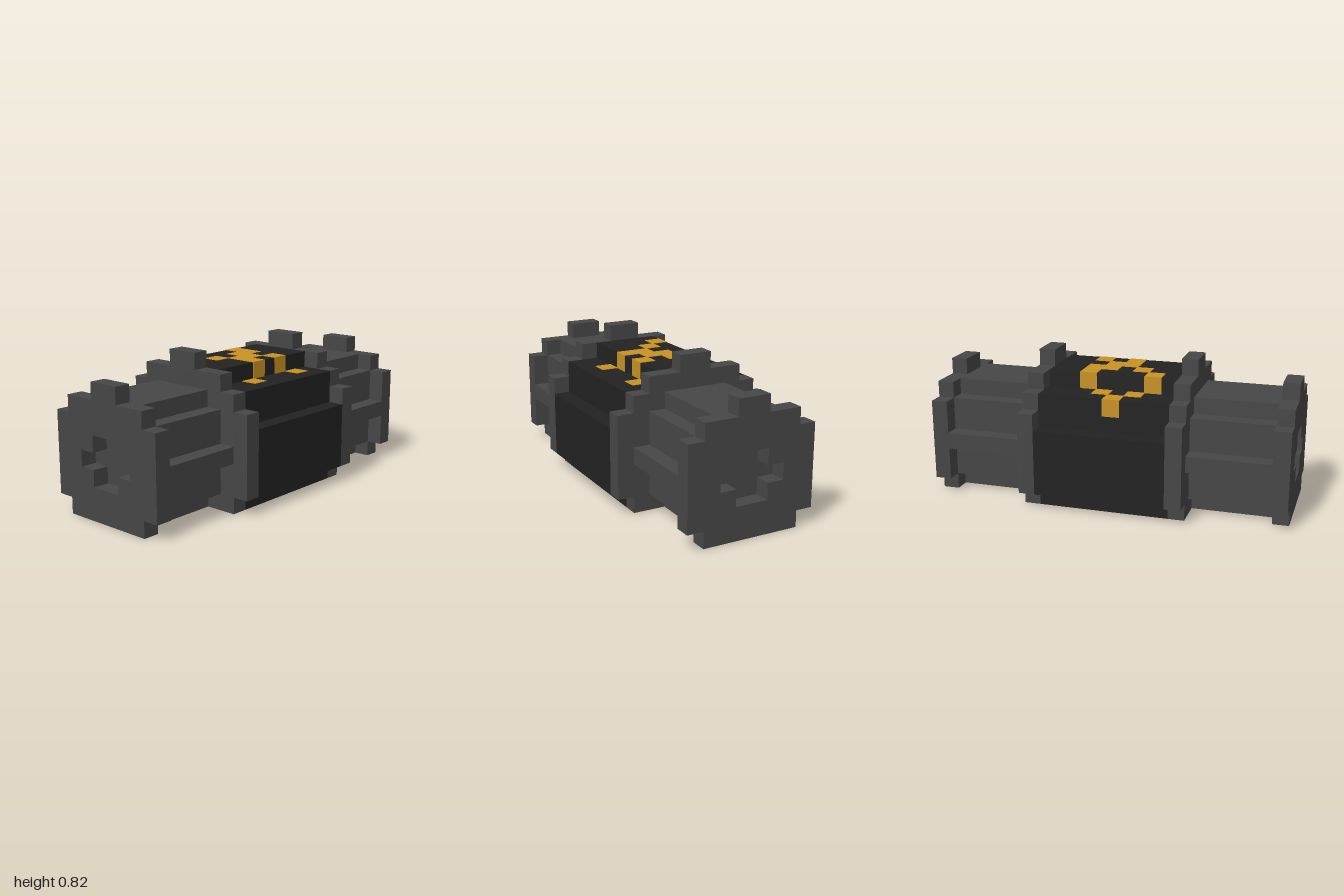
import * as THREE from 'three';

const U = 1 / 11; // one block

// Stepped outlines, bottom to top: [top of step, half depth], in blocks
const CENTRE = [[1, 4], [5, 5], [7, 4], [8, 2]];
const FLANGE = [[1, 4], [6, 5], [7, 4], [8, 3], [9, 1]];
const ARM = [[1, 2], [3, 3], [4, 4], [6, 3], [7, 2]];
const CAP = [[1, 3], [6, 4], [7, 3], [8, 1]];
const SOCKET = [[3, 1], [4, 2], [5, 1]];

function outline(steps, base = 0) {
  const right = [];
  let y = base;
  for (const [top, half] of steps) {
    right.push([half, y], [half, top]);
    y = top;
  }
  const left = right.map(([z, h]) => [-z, h]).reverse();
  return [...right, ...left].map(([z, h]) => new THREE.Vector2(z * U, h * U));
}

// Extrude a stepped outline along x, from block x0 to block x1
function section(name, steps, x0, x1, material, hole) {
  const shape = new THREE.Shape(outline(steps));
  if (hole) shape.holes.push(new THREE.Path(outline(hole, 2)));
  const geometry = new THREE.ExtrudeGeometry(shape, { depth: (x1 - x0) * U, bevelEnabled: false });
  geometry.rotateY(Math.PI / 2).translate(x0 * U, 0, 0);
  const mesh = new THREE.Mesh(geometry, material);
  mesh.name = name;
  return mesh;
}

export function createModel() {
  const grey = new THREE.MeshStandardMaterial({ color: 0x464646 });
  grey.name = 'greyCasing';
  const black = new THREE.MeshStandardMaterial({ color: 0x222222 });
  black.name = 'blackCore';
  const gold = new THREE.MeshStandardMaterial({ color: 0xc99223 });
  gold.name = 'goldInlay';

  const model = new THREE.Group();
  model.name = 'canister';
  model.add(section('core', CENTRE, -4, 4, black));

  // Both ends: flange, ribbed arm and cap with a cross-shaped socket
  for (const [side, s] of [['left', 1], ['right', -1]]) {
    const add = (part, steps, a, b, hole) =>
      model.add(section(side + part, steps, Math.min(s * a, s * b), Math.max(s * a, s * b), grey, hole));
    add('Flange', FLANGE, 4, 5);
    add('Arm', ARM, 5, 10);
    add('EndCap', CAP, 10, 11, SOCKET);
  }

  // Gold blocks set into the top, row by row from the back (z = -4)
  const rows = [[-1], [-2, 0], [-3, 1], [-2, 0, 1], [-1, 0], [-1, 1], [-2, 2]];
  const inlay = new THREE.Group();
  inlay.name = 'goldInlay';
  const block = new THREE.BoxGeometry(U + 0.005, U + 0.005, U + 0.005);
  rows.forEach((cells, i) => {
    const z = i - 4;
    const top = z >= -2 && z < 2 ? 8 : 7;
    for (const x of cells) {
      const mesh = new THREE.Mesh(block, gold);
      mesh.name = 'inlayBlock';
      mesh.position.set((x + 0.5) * U, (top - 0.5) * U, (z + 0.5) * U);
      inlay.add(mesh);
    }
  });
  model.add(inlay);
  return model;
}
